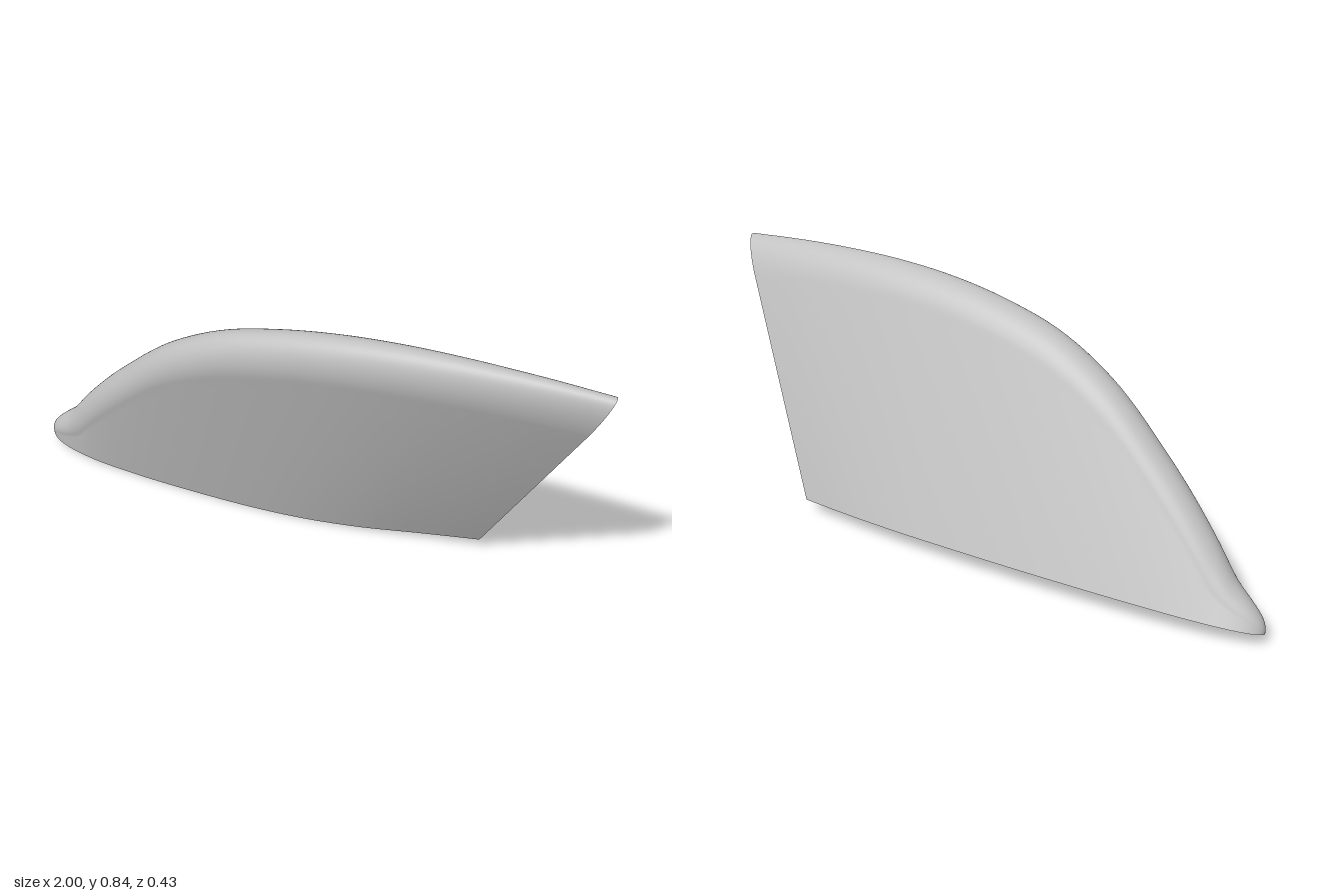
import * as THREE from 'three';

const STATIONS = 64, SIDE = 14, CAP = 28, WALL = 0.011;

// Smooth (Hermite) interpolation of [s, value] knots, eased so that the nose is round
function profile(knots) {
  const k = knots.map(([s, v]) => [Math.sqrt(s), v]);
  const slope = i => {
    const a = k[Math.max(i - 1, 0)], b = k[Math.min(i + 1, k.length - 1)];
    return (b[1] - a[1]) / (b[0] - a[0]);
  };
  return s => {
    const u = Math.sqrt(s);
    let i = 0;
    while (i < k.length - 2 && u > k[i + 1][0]) i++;
    const d = k[i + 1][0] - k[i][0], t = (u - k[i][0]) / d, t2 = t * t, t3 = t2 * t;
    return (2 * t3 - 3 * t2 + 1) * k[i][1] + (t3 - 2 * t2 + t) * d * slope(i)
      + (3 * t2 - 2 * t3) * k[i + 1][1] + (t3 - t2) * d * slope(i + 1);
  };
}

// Spine height, half width at the foot and below the rounded spine, and foot centre line
const height = profile([[0, 0], [0.05, 0.12], [0.1, 0.238], [0.2, 0.445], [0.3, 0.616], [0.4, 0.728],
  [0.5, 0.79], [0.6, 0.828], [0.7, 0.847], [0.8, 0.852], [0.9, 0.848], [1, 0.837]]);
const footWidth = profile([[0, 0], [0.031, 0.053], [0.126, 0.09], [0.25, 0.106], [0.377, 0.112],
  [0.5, 0.1125], [0.63, 0.105], [0.755, 0.088], [0.88, 0.058], [1, 0.024]]);
const spineWidth = profile([[0, 0], [0.025, 0.043], [0.1, 0.067], [0.3, 0.075], [0.5, 0.078],
  [0.7, 0.072], [0.9, 0.055], [1, 0.044]]);
const footCentre = profile([[0, -0.12], [0.5, -0.121], [0.63, -0.123], [0.755, -0.13],
  [0.88, -0.137], [1, -0.137]]);

// Arched cross-section: up the front, round the spine, down the back
function section(s, inset) {
  const full = Math.max(height(s), 0.0008);
  const H = full - Math.min(inset, full * 0.4);
  const shrink = w => Math.max(w - inset, w * 0.4, 0.0002);
  const wb = shrink(footWidth(s)), wt = shrink(spineWidth(s));
  const cap = Math.min(0.13, H * 0.6), shoulder = H - cap;
  const outline = [];
  for (let j = 0; j < SIDE; j++) {
    const f = j / SIDE;
    outline.push([wb + (wt - wb) * f, shoulder * f]);
  }
  for (let j = 0; j <= CAP; j++) {
    const a = Math.PI * j / CAP;
    outline.push([wt * Math.cos(a), shoulder + cap * Math.sin(a)]);
  }
  for (let j = SIDE - 1; j >= 0; j--) {
    const f = j / SIDE;
    outline.push([-(wb + (wt - wb) * f), shoulder * f]);
  }
  const foot = footCentre(s);
  return outline.map(([t, h]) => {
    const lean = h / full;
    return new THREE.Vector3(
      -1 + 1.59 * s + 0.41 * s * lean + inset * (1 - s),
      h,
      t + foot + (-0.12 - foot) * lean);
  });
}

// Skin over rows of points
function skin(rows) {
  const n = rows[0].length, index = [];
  for (let i = 0; i < rows.length - 1; i++) {
    for (let j = 0; j < n - 1; j++) {
      const a = i * n + j, b = a + n;
      index.push(a, b, a + 1, b, b + 1, a + 1);
    }
  }
  const geometry = new THREE.BufferGeometry().setFromPoints(rows.flat());
  geometry.setIndex(index);
  geometry.computeVertexNormals();
  return geometry;
}

export function createModel() {
  const grey = new THREE.MeshStandardMaterial({ color: 0xc0c0c0 });
  grey.name = 'light grey';
  const model = new THREE.Group();
  model.name = 'curvedCover';
  const shell = new THREE.Group();
  shell.name = 'tiltedShell';
  shell.rotation.x = THREE.MathUtils.degToRad(20);
  model.add(shell);

  const add = (name, rows) => {
    const mesh = new THREE.Mesh(skin(rows), grey);
    mesh.name = name;
    shell.add(mesh);
  };

  const outer = [], inner = [];
  for (let i = 0; i <= STATIONS; i++) {
    const s = (i / STATIONS) ** 1.7;
    outer.push(section(s, 0));
    inner.push(section(s, WALL));
  }
  const last = outer[0].length - 1;

  // Outside and inside walls
  add('outerWall', outer);
  add('innerWall', inner.map(row => [...row].reverse()));

  // Narrow rims closing the wall thickness along the open foot and open end
  add('frontFootRim', outer.map((row, i) => [inner[i][0], row[0]]));
  add('backFootRim', outer.map((row, i) => [row[last], inner[i][last]]));
  add('endRim', outer[STATIONS].map((p, j) => [inner[STATIONS][j], p]));

  return model;
}
